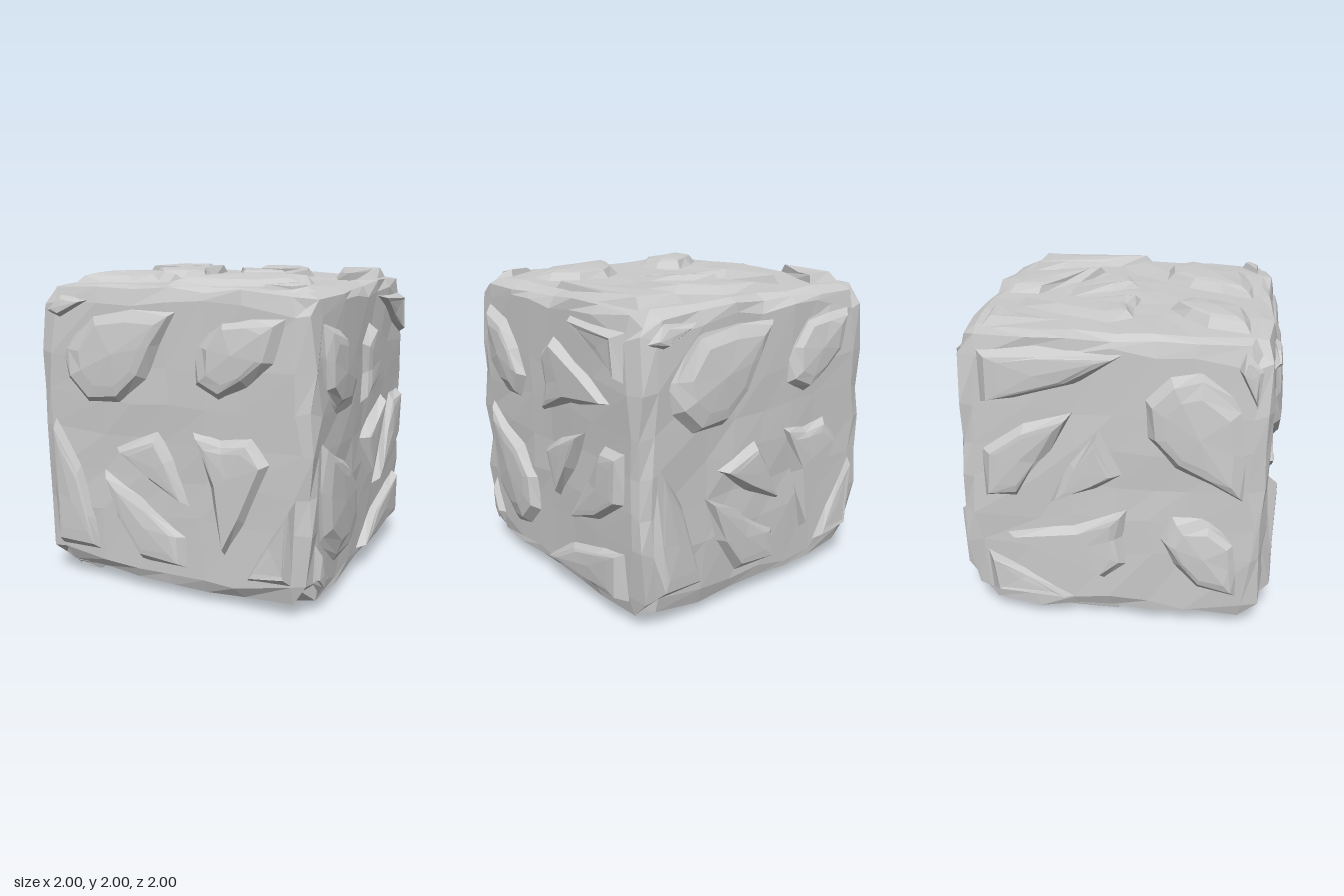
import * as THREE from 'three';

const material = new THREE.MeshStandardMaterial({ color: 0xcccccc, flatShading: true });

// Raised stones on one face: outline as [u, v, rim height], counter-clockwise.
// A LOW rim melts into the block, a HIGH rim ends in a steep edge.
const HIGH = 0.985, LOW = 0.935;
const stones = [
  { name: 'largeBoulder', peak: 1.0, outline: [[-0.76, 0.53, 0.95], [-0.72, 0.34], [-0.57, 0.19], [-0.33, 0.2], [-0.13, 0.37], [-0.03, 0.6], [0.08, 0.8, 0.96], [-0.2, 0.85, LOW], [-0.55, 0.8, LOW]] },
  { name: 'smallBoulder', peak: 1.0, outline: [[0.18, 0.36, 0.975], [0.34, 0.28], [0.53, 0.37], [0.7, 0.53], [0.75, 0.78, 0.97], [0.58, 0.83, LOW], [0.34, 0.8, LOW], [0.18, 0.6, 0.945]] },
  { name: 'sideShard', peak: 0.99, outline: [[-0.83, 0.08], [-0.87, -0.4, 0.97], [-0.82, -0.78], [-0.5, -0.78], [-0.53, -0.58, 0.98], [-0.64, -0.2, 0.97]] },
  { name: 'slantShard', peak: 0.99, outline: [[-0.47, -0.22], [-0.39, -0.52], [-0.2, -0.79], [0.13, -0.79], [0.13, -0.59, 0.97], [-0.13, -0.4, 0.95]] },
  { name: 'triangleShard', peak: 0.99, outline: [[-0.38, -0.07], [-0.14, -0.26], [0.15, -0.39], [0.04, -0.1], [-0.07, 0.07, 0.98]] },
  { name: 'wedgeShard', peak: 0.985, outline: [[0.16, 0.1, 0.97], [0.28, -0.25], [0.38, -0.67], [0.51, -0.45], [0.68, -0.05], [0.56, 0.1, 0.97], [0.35, 0.08, 0.96]] },
  { name: 'cornerShard', peak: 0.975, outline: [[0.52, -0.8], [0.81, -0.78], [0.83, -0.24], [0.66, -0.52, 0.96]] },
  { name: 'chip', peak: 0.965, outline: [[-0.87, 0.76, 0.95], [-0.77, 0.72, 0.97], [-0.53, 0.84, 0.96], [-0.76, 0.86, LOW]] },
];

// Stable noise from a position, so coincident corners move together
function noise(x, y, z, seed) {
  const s = Math.sin(x * 12.99 + y * 78.23 + z * 37.72 + seed * 5.17) * 4375.85;
  return (s - Math.floor(s)) * 2 - 1;
}

// Block with rough bevelled edges and cut corners
function blockGeometry() {
  const geometry = new THREE.BoxGeometry(1.9, 1.9, 1.9, 8, 8, 8);
  const pos = geometry.attributes.position;
  const p = new THREE.Vector3();
  for (let i = 0; i < pos.count; i++) {
    p.fromBufferAttribute(pos, i);
    const [x, y, z] = p.toArray().map(c => Math.round(c * 1000) / 1000 + 0);
    const a = [x, y, z].map(Math.abs);
    const outer = a.filter(c => c > 0.94).length;
    const nearCorner = a.every(c => c > 0.6);
    // Outer planes step inward from face to edge to corner; the next row sets the bevel width
    const plane = [0.932, 0.91, 0.845][outer - 1] - (nearCorner && outer < 3 ? 0.012 : 0);
    const row = nearCorner ? 0.79 : 0.84;
    const rough = [0.01, 0.022, 0.015][outer - 1];
    const q = [x, y, z].map((c, k) => {
      const n = noise(x, y, z, k);
      if (a[k] > 0.94) return Math.sign(c) * plane + n * rough;
      return (a[k] > 0.6 ? Math.sign(c) * row : c) + n * 0.03;
    });
    pos.setXYZ(i, ...q);
  }
  const flat = geometry.toNonIndexed();
  flat.computeVertexNormals();
  return flat;
}

// Stone: sunken outline, narrower rim, and a fan to the peak
function stoneGeometry({ outline, peak }) {
  const n = outline.length;
  const cu = outline.reduce((s, p) => s + p[0], 0) / n;
  const cv = outline.reduce((s, p) => s + p[1], 0) / n;
  const ring = (inset, height) => outline.map(([u, v, h = HIGH]) => {
    const d = Math.hypot(u - cu, v - cv);
    const k = 1 - Math.min(inset / d, 0.4);
    return [cu + (u - cu) * k, cv + (v - cv) * k, height ?? h];
  });
  const foot = ring(0, 0.918), rim = ring(0.065), crown = ring(0.16);
  crown.forEach(p => { p[2] = p[2] * 0.4 + peak * 0.6; });
  const tri = [];
  for (let i = 0; i < n; i++) {
    const j = (i + 1) % n;
    for (const [a, b] of [[foot, rim], [rim, crown]]) tri.push(a[i], a[j], b[j], a[i], b[j], b[i]);
    tri.push(crown[i], crown[j], [cu, cv, peak]);
  }
  const geometry = new THREE.BufferGeometry();
  geometry.setAttribute('position', new THREE.Float32BufferAttribute(tri.flat(), 3));
  geometry.computeVertexNormals();
  return geometry;
}

export function createModel() {
  const model = new THREE.Group();
  model.name = 'stoneCube';

  const block = new THREE.Mesh(blockGeometry(), material);
  block.name = 'block';
  block.position.y = 1;
  model.add(block);

  // The same relief on six sides: [name, u axis, v axis]
  const sides = [
    ['front', [1, 0, 0], [0, 1, 0]],
    ['back', [-1, 0, 0], [0, 1, 0]],
    ['left', [0, 1, 0], [0, 0, 1]],
    ['right', [0, -1, 0], [0, 0, 1]],
    ['top', [-1, 0, 0], [0, 0, 1]],
    ['bottom', [1, 0, 0], [0, 0, 1]],
  ];
  const shapes = stones.map(s => [s.name, stoneGeometry(s)]);
  for (const [name, u, v] of sides) {
    const face = new THREE.Group();
    face.name = name + 'Relief';
    const U = new THREE.Vector3(...u), V = new THREE.Vector3(...v);
    const W = new THREE.Vector3().crossVectors(U, V);
    face.quaternion.setFromRotationMatrix(new THREE.Matrix4().makeBasis(U, V, W));
    face.position.y = 1;
    for (const [part, geometry] of shapes) {
      const mesh = new THREE.Mesh(geometry, material);
      mesh.name = part;
      face.add(mesh);
    }
    model.add(face);
  }
  return model;
}
